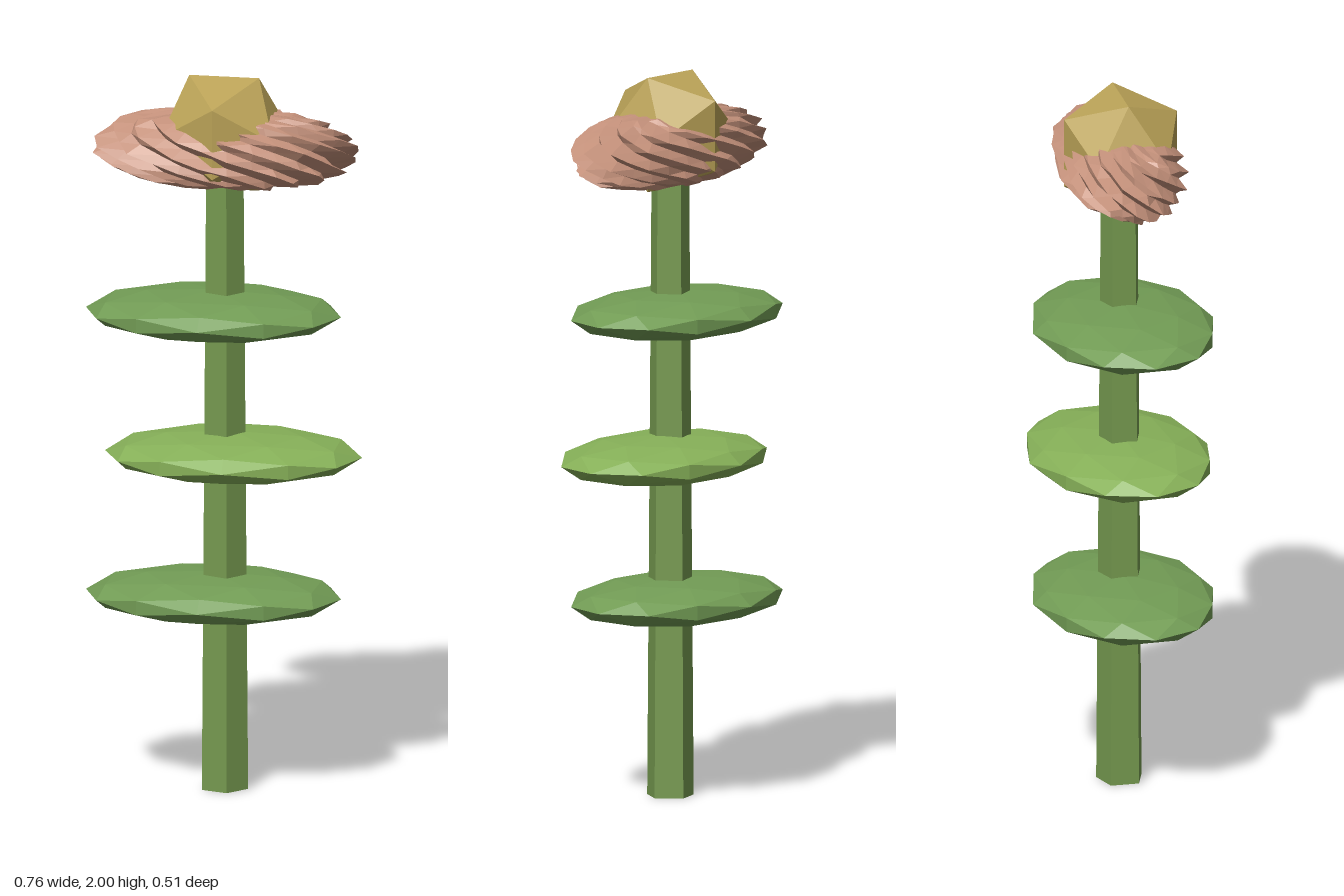
import * as THREE from 'three';

const material = (color) => new THREE.MeshStandardMaterial({ color, flatShading: true });

// Repeatable value in 0..1 for a pair of indices
const hash = (i, j) => {
  const s = Math.sin(i * 12.9898 + j * 78.233) * 43758.5453;
  return s - Math.floor(s);
};

function addMesh(group, name, geometry, mat, x, y, z) {
  const mesh = new THREE.Mesh(geometry, mat);
  mesh.name = name;
  mesh.position.set(x, y, z);
  group.add(mesh);
  return mesh;
}

// Flattened oval of petals: a sphere whose vertices alternate in and out
function spikyPetals(cols, rows) {
  const geometry = new THREE.SphereGeometry(1, cols, rows);
  const pos = geometry.attributes.position;
  for (let j = 0; j <= rows; j++) {
    for (let i = 0; i <= cols; i++) {
      const k = j * (cols + 1) + i;
      const column = i % cols;
      const pole = j === 0 || j === rows;
      const spike = (column + j) % 2 ? 1.0 : 0.87;
      const r = pole ? 0.92 : spike + 0.09 * (hash(column, j) - 0.5);
      // Blunt the rim so that the sides stay steep
      const lat = Math.sqrt(1 - pos.getY(k) ** 2) || 0;
      const widen = pole ? 1 : Math.pow(Math.max(lat, 0.01), -0.3);
      pos.setXYZ(
        k,
        pos.getX(k) * widen * r * 0.365,
        pos.getY(k) * (pole ? 0.92 : 0.95 + 0.1 * hash(j, column)) * 0.105,
        pos.getZ(k) * widen * r * 0.172
      );
    }
  }
  geometry.computeVertexNormals();
  return geometry;
}

export function createModel() {
  const model = new THREE.Group();
  model.name = 'flower';

  // Five-sided tapering stem with one corner towards +x
  const stem = new THREE.CylinderGeometry(0.054, 0.067, 1.76, 5, 1, false, Math.PI / 2);
  addMesh(model, 'stem', stem, material(0x75994f), 0, 0.88, 0);

  // Three flat faceted leaves, the middle one turned round
  const leafGeometry = new THREE.IcosahedronGeometry(1, 1);
  leafGeometry.scale(0.355, 0.065, 0.255);
  [0.543, 0.94, 1.336].forEach((y, i) => {
    const middle = i === 1;
    const leaf = addMesh(
      model, 'leaf' + (i + 1), leafGeometry,
      material(middle ? 0x86b058 : 0x729c55), middle ? 0.026 : -0.03, y, 0
    );
    leaf.rotation.y = middle ? Math.PI + 0.08 : 0.03;
  });

  // Flower head
  addMesh(model, 'petals', spikyPetals(30, 14), material(0xc3907a), 0.005, 1.8, 0);
  addMesh(model, 'flowerCentre', new THREE.IcosahedronGeometry(0.186, 0), material(0xbaa257), 0, 1.842, 0);

  return model;
}
